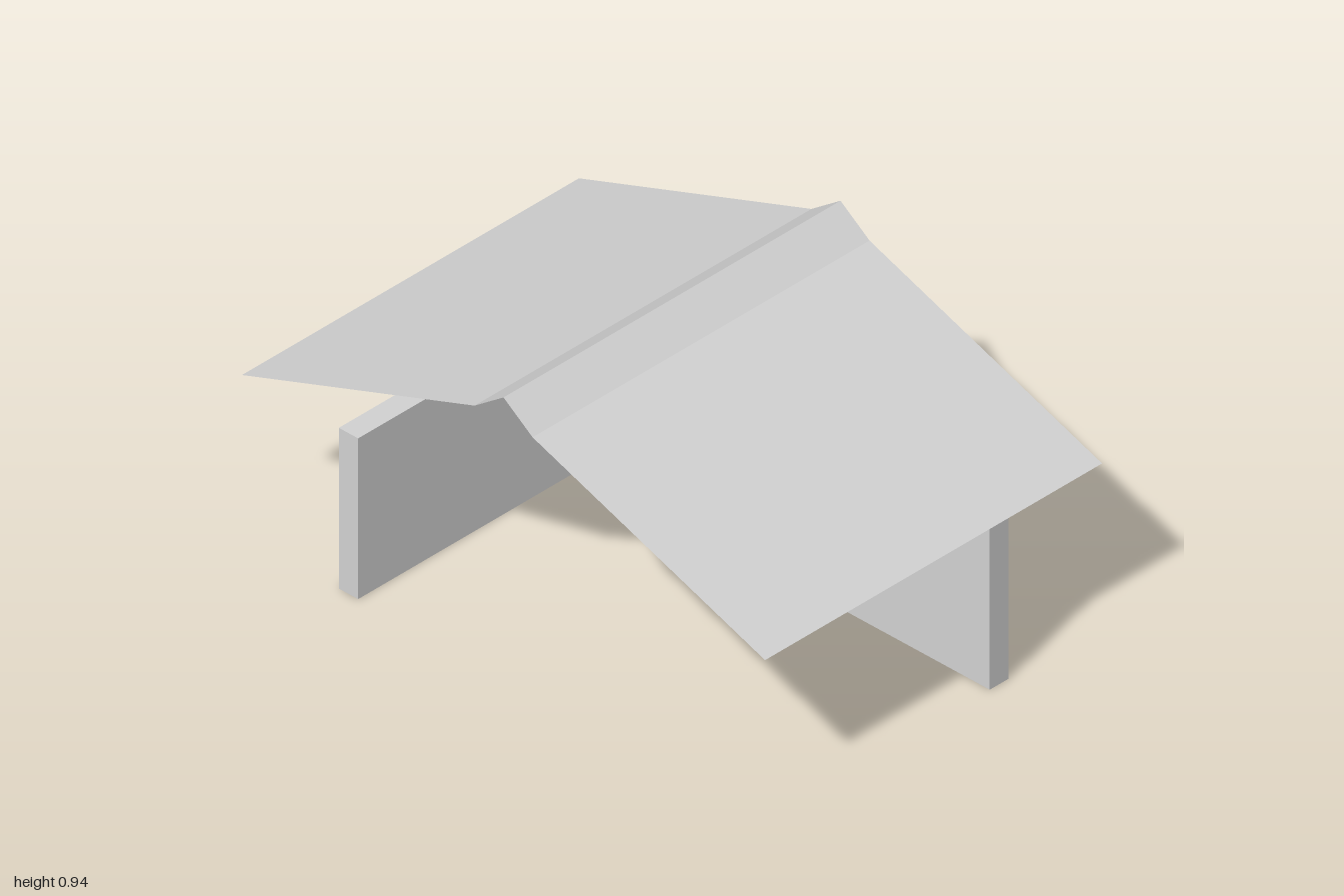
import * as THREE from 'three';

const BAY = 2 / 9;        // width of one step
const RISE = 0.08;        // height of one step
const BASE = 0.535;       // height of the eaves and the lowest wall course
const THICK = BAY / 3;    // wall thickness
const HALF = 2 / 3;       // half the roof width

// Wall slab with a stepped top: each bay is [start, end, number of steps above the base]
function steppedWall(bays) {
  const shape = new THREE.Shape();
  shape.moveTo(bays[0][0], 0);
  for (const [start, end, steps] of bays) {
    shape.lineTo(start, BASE + steps * RISE);
    shape.lineTo(end, BASE + steps * RISE);
  }
  shape.lineTo(bays[bays.length - 1][1], 0);
  return new THREE.ExtrudeGeometry(shape, { depth: THICK, bevelEnabled: false });
}

// Thin folded sheet: a [z, y] profile swept straight across the width
function foldedSheet(profile) {
  const pos = [];
  for (let i = 0; i < profile.length - 1; i++) {
    const [z0, y0] = profile[i], [z1, y1] = profile[i + 1];
    const a = [-HALF, y0, z0], b = [HALF, y0, z0], c = [HALF, y1, z1], d = [-HALF, y1, z1];
    pos.push(...a, ...b, ...c, ...a, ...c, ...d);
  }
  const geo = new THREE.BufferGeometry();
  geo.setAttribute('position', new THREE.Float32BufferAttribute(pos, 3));
  geo.computeVertexNormals();
  return geo;
}

export function createModel() {
  const model = new THREE.Group();
  const grey = new THREE.MeshStandardMaterial({ color: 0xd2d2d2 });
  grey.name = 'plain grey';
  grey.side = THREE.DoubleSide;
  const add = (name, geo) => {
    const mesh = new THREE.Mesh(geo, grey);
    mesh.name = name;
    model.add(mesh);
    return mesh;
  };

  // Long wall running front to back, stepping up to the ridge and down again
  const bays = [0, 1, 2, 3, 4, 3, 2].map((s, i) => [-1 + i * BAY, -1 + (i + 1) * BAY, s]);
  const longWall = add('steppedLongWall', steppedWall(bays).rotateY(Math.PI / 2));
  longWall.position.x = BAY;

  // Cross wall at the back, one step higher where it meets the long wall
  const crossWall = add('backCrossWall', steppedWall([[-HALF, BAY, 0], [BAY, 2 * BAY, 1]]));
  crossWall.position.z = -1 + 4 * BAY - 4 * BAY + 2 * BAY - THICK;

  // Thin roof sheet, steeper beside the ridge
  const slope = [[1, BASE], [BAY / 2, BASE + 4 * RISE], [0, BASE + 5 * RISE]];
  const backSlope = slope.slice(0, 2).reverse().map(([z, y]) => [-z, y]);
  add('roof', foldedSheet([...slope, ...backSlope]));

  return model;
}
